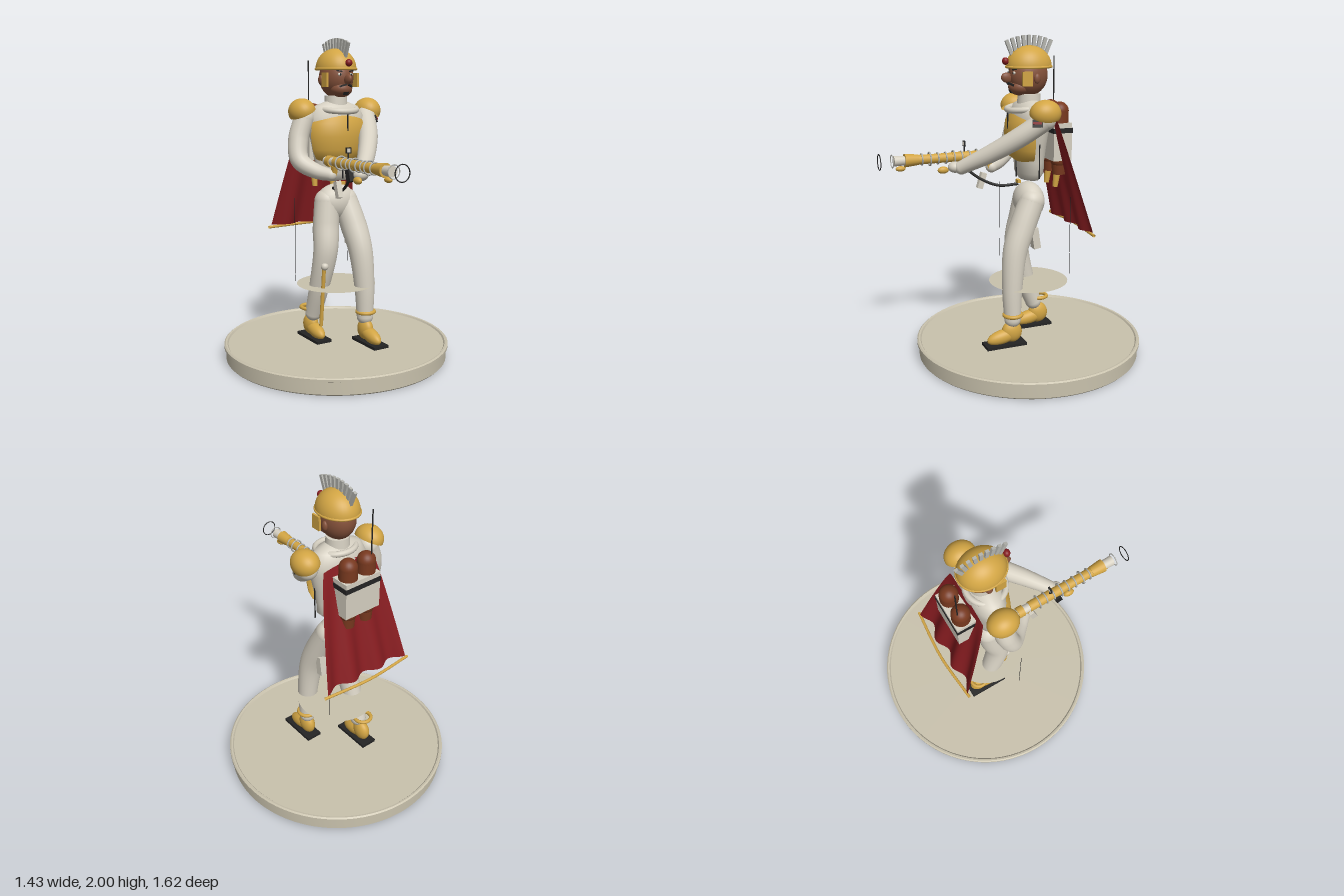
import * as THREE from 'three';
import { toCreasedNormals } from 'three/addons/utils/BufferGeometryUtils.js';

const mat = (name, color, side = THREE.FrontSide) => {
  const m = new THREE.MeshStandardMaterial({ color, side });
  m.name = name;
  return m;
};
const V = (x, y, z) => new THREE.Vector3(x, y, z);
const V2 = (list) => list.map(([x, y]) => new THREE.Vector2(x, y));

export function createModel() {
  const bone = mat('boneWhite', 0xd6d0c2);
  const gold = mat('gold', 0xd2a544, THREE.DoubleSide);
  const red = mat('capeRed', 0x861c20, THREE.DoubleSide);
  const skin = mat('skinBrown', 0x84513a);
  const rust = mat('tankBrown', 0x78391f);
  const black = mat('black', 0x242424);
  const steel = mat('steel', 0xb4b4ae);
  const stone = mat('stone', 0xc9c2ad, THREE.DoubleSide);
  const model = new THREE.Group();
  model.name = 'armouredSoldier';

  const add = (name, geo, m, p = [0, 0, 0], r = [0, 0, 0], s = [1, 1, 1], parent = model) => {
    const mesh = new THREE.Mesh(geo, m);
    mesh.name = name;
    mesh.position.set(...p);
    mesh.rotation.set(...r);
    mesh.scale.set(...s);
    parent.add(mesh);
    return mesh;
  };
  const box = (name, size, m, p, r) => add(name, new THREE.BoxGeometry(...size), m, p, r);
  const ball = (name, size, m, p, r) => add(name, new THREE.SphereGeometry(1, 28, 18), m, p, r, size);
  // Straight round bar between two points
  const rod = (name, a, b, ra, m, rb = ra) => {
    const A = V(...a), B = V(...b), d = B.clone().sub(A);
    const mesh = add(name, new THREE.CylinderGeometry(rb, ra, d.length(), 20), m);
    mesh.position.copy(A).addScaledVector(d, 0.5);
    mesh.quaternion.setFromUnitVectors(V(0, 1, 0), d.normalize());
    return mesh;
  };
  // Tapered tube through points, with rounded ends
  const limb = (name, pts, radii, m) => {
    const n = 28, sides = 20;
    const curve = new THREE.CatmullRomCurve3(pts.map((p) => V(...p)));
    const geo = new THREE.TubeGeometry(curve, n, 1, sides);
    const pos = geo.attributes.position, nor = geo.attributes.normal;
    for (let i = 0; i <= n; i++) {
      const c = curve.getPointAt(i / n), t = (i / n) * (radii.length - 1);
      const k = Math.min(Math.floor(t), radii.length - 2);
      const r = THREE.MathUtils.lerp(radii[k], radii[k + 1], t - k);
      for (let j = 0; j <= sides; j++) {
        const q = i * (sides + 1) + j;
        pos.setXYZ(q, c.x + nor.getX(q) * r, c.y + nor.getY(q) * r, c.z + nor.getZ(q) * r);
      }
    }
    add(name, geo, m);
    [[pts[0], radii[0]], [pts.at(-1), radii.at(-1)]].forEach(([p, r]) => ball(name + 'End', [r, r, r], m, p));
  };

  // Display base, with a flat disc around the legs
  const baseProfile = V2([[0, 0], [0.695, 0], [0.703, 0.008], [0.703, 0.08], [0.715, 0.085], [0.715, 0.1],
    [0.706, 0.107], [0.695, 0.105], [0.688, 0.095], [0, 0.095]]);
  add('base', toCreasedNormals(new THREE.LatheGeometry(baseProfile, 72), 0.6), stone, [0, 0, -0.09]);
  add('legDisc', new THREE.CircleGeometry(0.25, 48), stone, [0, 0.47, -0.09], [-Math.PI / 2, 0, 0]);

  // Legs and boots: left one forward, right one back
  ball('pelvis', [0.135, 0.115, 0.092], bone, [0, 0.995, -0.09]);
  const legs = [
    ['left', 1, [-0.085, -0.02, 0.04, 0.065, 0.065], 0.12],
    ['right', -1, [-0.095, -0.075, -0.05, -0.105, -0.175], -0.16],
  ];
  for (const [side, s, z, foot] of legs) {
    const xs = [0.062, 0.082, 0.1, 0.115, 0.12], ys = [1.0, 0.86, 0.7, 0.46, 0.27];
    limb(side + 'Leg', xs.map((x, i) => [s * x, ys[i], z[i]]), [0.08, 0.083, 0.073, 0.063, 0.052], bone);
    add(side + 'AnkleBand', new THREE.TorusGeometry(0.054, 0.012, 10, 28), gold,
      [s * 0.125, 0.3, z[4] - (s < 0 ? 0.04 : 0)], [Math.PI / 2, 0, 0]);
    box(side + 'Sole', [0.105, 0.018, 0.26], black, [s * 0.122, 0.114, foot]);
    ball(side + 'Toe', [0.042, 0.045, 0.105], gold, [s * 0.12, 0.162, foot + 0.01], [0.2, 0, 0]);
    ball(side + 'Heel', [0.043, 0.07, 0.065], gold, [s * 0.12, 0.188, foot - 0.05], [0.4, 0, 0]);
  }
  box('thighPouch', [0.06, 0.13, 0.045], bone, [0.11, 0.78, -0.085], [0.15, 0, 0]);
  rod('scabbard', [-0.138, 0.22, -0.045], [-0.138, 0.61, -0.003], 0.012, gold);
  rod('swordGrip', [-0.138, 0.6, -0.003], [-0.14, 0.72, 0.0], 0.006, gold);
  ball('swordPommel', [0.024, 0.024, 0.024], bone, [-0.136, 0.61, 0]);

  // Torso, collar and breastplate
  const torso = V2([[0, 1.125], [0.1, 1.135], [0.142, 1.18], [0.145, 1.25], [0.165, 1.35], [0.19, 1.46],
    [0.19, 1.53], [0.15, 1.59], [0.07, 1.62], [0, 1.62]]);
  add('torso', new THREE.LatheGeometry(torso, 40), bone, [0, 0, -0.09], [0, 0, 0], [1, 1, 0.56]);
  const plate = V2([[0.12, 1.25], [0.165, 1.275], [0.19, 1.33], [0.203, 1.41], [0.195, 1.49], [0.15, 1.535]]);
  add('breastplate', new THREE.LatheGeometry(plate, 36, -1.32, 2.64), gold, [0, 0, -0.09], [0, 0, 0], [1, 1, 0.7]);
  add('neck', new THREE.CylinderGeometry(0.068, 0.075, 0.09, 28), bone, [0, 1.61, -0.09]);
  add('collar', new THREE.TorusGeometry(0.115, 0.018, 12, 40), bone, [0, 1.575, -0.07], [Math.PI / 2 + 0.12, 0, 0]);
  box('frontSeam', [0.006, 0.13, 0.006], black, [0, 1.51, 0.048]);
  box('waistSeam', [0.005, 0.1, 0.006], black, [0, 1.2, -0.008]);
  box('sideSeam', [0.006, 0.34, 0.006], black, [0.166, 1.33, -0.09]);
  box('beltClasp', [0.04, 0.02, 0.02], gold, [0, 1.12, -0.02]);

  // Arms and shoulder guards
  limb('rightArm', [[-0.22, 1.52, -0.1], [-0.265, 1.39, -0.09], [-0.275, 1.27, -0.05], [-0.21, 1.21, 0.03], [-0.15, 1.19, 0.1]],
    [0.062, 0.062, 0.058, 0.048, 0.036], bone);
  limb('leftArm', [[0.225, 1.52, -0.1], [0.16, 1.42, 0.03], [0.05, 1.31, 0.18], [-0.075, 1.215, 0.32]],
    [0.062, 0.06, 0.054, 0.042], bone);
  ball('leftHand', [0.045, 0.035, 0.045], bone, [-0.105, 1.215, 0.35]);
  for (const s of [-1, 1]) {
    add(s > 0 ? 'leftShoulderGuard' : 'rightShoulderGuard',
      new THREE.SphereGeometry(1, 28, 14, 0, Math.PI * 2, 0, Math.PI * 0.55), gold,
      [s * 0.235, 1.56, -0.095], [0, 0, -s * 0.45], [0.08, 0.08, 0.095]);
  }
  box('armBadge', [0.008, 0.045, 0.06], black, [0.262, 1.51, -0.035], [0, -0.5, 0.3]);
  box('armBadgeStripe', [0.008, 0.014, 0.05], red, [0.267, 1.512, -0.032], [0, -0.5, 0.3]);

  // Head and face
  ball('head', [0.1, 0.125, 0.12], skin, [0, 1.765, -0.085]);
  ball('nose', [0.018, 0.03, 0.038], skin, [0, 1.752, 0.052], [-0.3, 0, 0]);
  ball('jaw', [0.07, 0.05, 0.07], skin, [0, 1.695, -0.03]);
  for (const s of [-1, 1]) {
    ball('ear', [0.015, 0.03, 0.02], skin, [s * 0.1, 1.75, -0.1]);
    ball('eye', [0.014, 0.009, 0.008], bone, [s * 0.038, 1.782, 0.022]);
    ball('pupil', [0.006, 0.007, 0.006], black, [s * 0.038, 1.782, 0.027]);
    box('eyebrow', [0.036, 0.007, 0.01], black, [s * 0.04, 1.802, 0.02], [0, s * 0.3, s * 0.15]);
    box('moustache', [0.045, 0.01, 0.012], black, [s * 0.024, 1.716, 0.036], [0, s * 0.5, -s * 0.3]);
    box('cheekGuard', [0.014, 0.085, 0.062], gold, [s * 0.108, 1.75, -0.035]);
  }
  box('chinBeard', [0.035, 0.02, 0.012], black, [0, 1.672, 0.026], [0.5, 0, 0]);

  // Helmet with gem and fan crest
  add('helmet', new THREE.SphereGeometry(1, 36, 16, 0, Math.PI * 2, 0, Math.PI / 2), gold,
    [0, 1.815, -0.088], [0, 0, 0], [0.12, 0.125, 0.14]);
  add('helmetBrim', new THREE.TorusGeometry(0.117, 0.008, 10, 40), gold,
    [0, 1.815, -0.088], [Math.PI / 2, 0, 0], [1, 1.17, 1]);
  ball('helmetGem', [0.022, 0.022, 0.02], red, [0, 1.85, 0.062]);
  for (let i = 0; i < 9; i++) {
    const a = -0.4 + i * 0.1;
    box('crestFeather', [0.016, 0.095, 0.021], steel,
      [0, 1.63 + Math.cos(a) * 0.3225, -0.088 + Math.sin(a) * 0.3225], [a, 0, 0]);
  }

  // Cape: a widening, waving sheet with a hem rod
  const cape = new THREE.PlaneGeometry(2, 1, 48, 16);
  const cp = cape.attributes.position;
  for (let i = 0; i < cp.count; i++) {
    const u = cp.getX(i), t = 0.5 - cp.getY(i);
    const half = 0.18 + 0.125 * Math.pow(t, 0.8);
    const wave = 0.022 * t * Math.cos(u * Math.PI * 3);
    cp.setXYZ(i, u * half, 1.54 - 0.71 * t - 0.02 * (1 - t) * u * u, -0.19 - 0.175 * t + wave);
  }
  cape.computeVertexNormals();
  add('cape', cape, red);
  const hem = new THREE.CatmullRomCurve3([V(-0.325, 0.815, -0.385), V(0, 0.815, -0.41), V(0.325, 0.815, -0.385)]);
  add('capeHemRod', new THREE.TubeGeometry(hem, 24, 0.009, 10), gold);

  // Backpack with twin tanks and aerial
  for (const s of [-1, 1]) {
    limb('tank', [[s * 0.066, 1.55, -0.265], [s * 0.066, 1.4, -0.265], [s * 0.066, 1.25, -0.265]], [0.055, 0.055], rust);
    rod('tankFoot', [s * 0.066, 1.16, -0.265], [s * 0.066, 1.27, -0.265], 0.042, rust, 0.05);
    rod('tankNozzle', [s * 0.066, 1.08, -0.24], [s * 0.066, 1.16, -0.25], 0.016, gold, 0.022);
  }
  box('backpack', [0.25, 0.23, 0.12], bone, [0, 1.365, -0.262]);
  box('backpackStrap', [0.258, 0.03, 0.127], black, [0, 1.435, -0.262]);
  rod('aerial', [-0.08, 1.45, -0.29], [-0.08, 1.87, -0.29], 0.004, black);
  rod('rightLine', [-0.33, 0.54, -0.02], [-0.33, 1.05, -0.02], 0.0015, black);
  rod('leftLine', [0.205, 0.55, -0.28], [0.205, 1.04, -0.28], 0.0015, black);

  // Long gun held across the front
  const gx = -0.14, gy = 1.27;
  const barrel = (name, z0, z1, r0, m, r1 = r0) => rod(name, [gx, gy, z0], [gx, gy, z1], r0, m, r1);
  barrel('stock', 0.03, 0.3, 0.026, bone);
  barrel('stockBand', 0.06, 0.1, 0.034, gold);
  barrel('receiver', 0.14, 0.36, 0.031, gold);
  barrel('barrel', 0.34, 0.58, 0.029, gold);
  barrel('muzzleBell', 0.57, 0.655, 0.032, gold, 0.041);
  barrel('muzzleTube', 0.65, 0.72, 0.028, bone, 0.031);
  const ring = (name, z, r, t, m) => add(name, new THREE.TorusGeometry(r, t, 8, 28), m, [gx, gy, z]);
  for (let i = 0; i < 8; i++) ring('barrelRing', 0.2 + i * 0.05, i % 3 ? 0.033 : 0.039, 0.005, steel);
  ring('muzzleRing', 0.73, 0.038, 0.003, steel);
  ring('aimingRing', 0.807, 0.047, 0.003, black);
  ball('muzzleKnob', [0.018, 0.016, 0.03], gold, [gx, 1.222, 0.68]);
  ball('valve', [0.02, 0.022, 0.035], gold, [gx - 0.02, 1.19, 0.41]);
  box('foreGrip', [0.035, 0.07, 0.04], black, [gx - 0.02, 1.21, 0.33], [-0.3, 0, 0]);
  box('trigger', [0.03, 0.06, 0.03], gold, [gx, 1.215, 0.12], [0.3, 0, 0]);
  box('cartridge', [0.034, 0.1, 0.035], bone, [gx, 1.11, 0.17], [-0.3, 0, 0]);
  rod('sightPost', [gx, 1.29, 0.28], [gx, 1.34, 0.28], 0.005, black);
  box('sightFrame', [0.034, 0.034, 0.01], black, [gx, 1.35, 0.28]);
  box('sightGlass', [0.022, 0.022, 0.014], bone, [gx, 1.35, 0.28]);
  const hose = new THREE.CatmullRomCurve3([V(-0.13, 1.21, 0.29), V(-0.1, 1.13, 0.19), V(-0.075, 1.085, 0.08), V(-0.05, 1.09, -0.04)]);
  add('hose', new THREE.TubeGeometry(hose, 28, 0.009, 10), black);

  return model;
}
